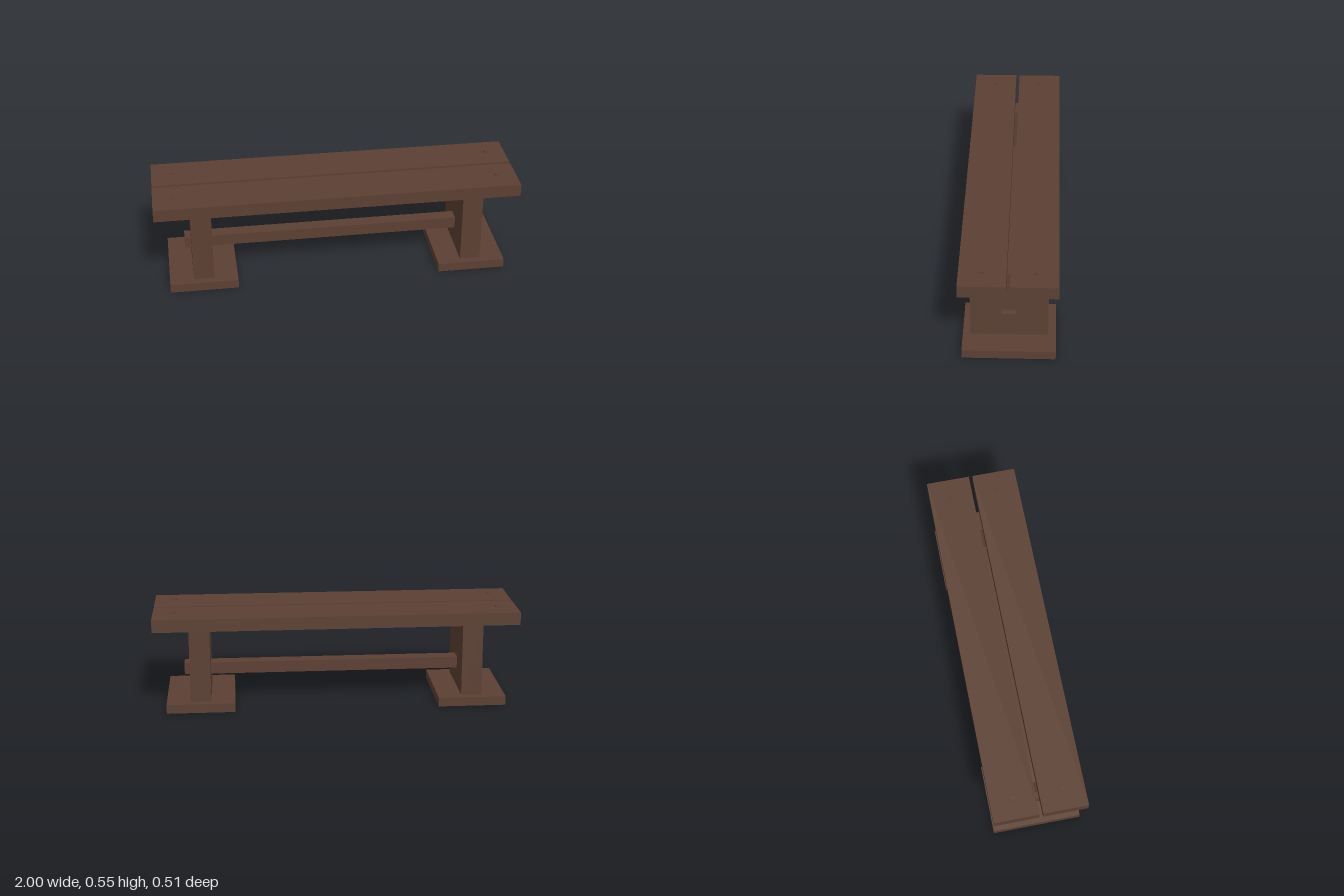
import * as THREE from 'three';

export function createModel() {
  const bench = new THREE.Group();
  bench.name = 'bench';
  const wood = new THREE.MeshStandardMaterial({ color: 0x5c4033 });
  wood.name = 'dark brown wood';

  // Box given by its size, centre x and z, and bottom height
  const board = (name, w, h, d, x, bottom, z) => {
    const mesh = new THREE.Mesh(new THREE.BoxGeometry(w, h, d), wood);
    mesh.name = name;
    mesh.position.set(x, bottom + h / 2, z);
    bench.add(mesh);
  };

  // Long rail whose ends pass through both legs
  board('stretcher', 1.682, 0.065, 0.074, 0, 0.155, 0);

  for (const side of [1, -1]) {
    const label = side > 0 ? 'left' : 'right';
    // Trestle: flat foot and upright slab
    board(label + 'Foot', 0.375, 0.05, 0.488, side * 0.75, 0, 0);
    board(label + 'Leg', 0.113, 0.409, 0.406, side * 0.75, 0.05, 0);
    // Small square pegs at the seat end
    for (const z of [0.132, -0.132]) {
      board(label + (z > 0 ? 'Front' : 'Back') + 'Peg', 0.02, 0.008, 0.024, side * 0.891, 0.54, z);
    }
  }

  // Two seat planks with a narrow gap between them
  board('frontSeatPlank', 2, 0.07, 0.243, 0, 0.466, 0.1315);
  board('backSeatPlank', 2, 0.07, 0.243, 0, 0.466, -0.1315);

  return bench;
}
